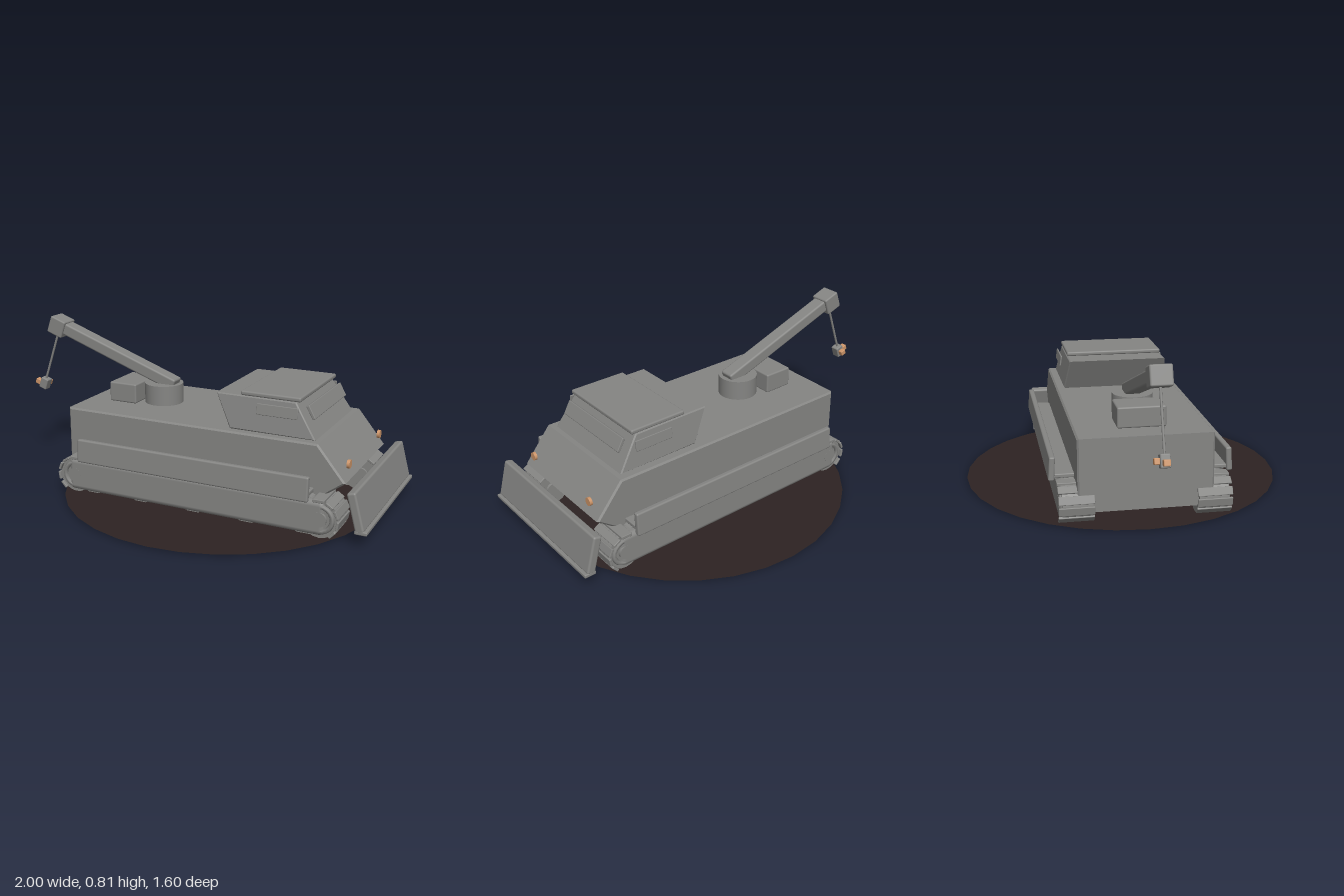
import * as THREE from 'three';
import { RoundedBoxGeometry } from 'three/addons/geometries/RoundedBoxGeometry.js';

const grey = new THREE.MeshStandardMaterial({ color: 0x858583 });
const amber = new THREE.MeshStandardMaterial({ color: 0xcc9468 });
const ground = new THREE.MeshStandardMaterial({ color: 0x2d2322, side: THREE.DoubleSide });
grey.name = 'armour grey';
amber.name = 'amber';
ground.name = 'dark earth';

export function createModel() {
  const model = new THREE.Group();

  const add = (name, geometry, material, x, y, z, parent = model) => {
    const mesh = new THREE.Mesh(geometry, material);
    mesh.name = name;
    mesh.position.set(x, y, z);
    parent.add(mesh);
    return mesh;
  };
  const box = (name, size, pos, tilt = 0, radius = 0.008, material = grey, parent = model) => {
    const mesh = add(name, new RoundedBoxGeometry(...size, 2, radius), material, ...pos, parent);
    mesh.rotation.z = tilt;
    return mesh;
  };
  // Side profile extruded symmetrically across z
  const prism = (points, halfWidth, bevel) => {
    const shape = new THREE.Shape(points.map(([x, y]) => new THREE.Vector2(x, y)));
    const geometry = new THREE.ExtrudeGeometry(shape, {
      depth: 2 * (halfWidth - bevel), bevelEnabled: true, bevelThickness: bevel,
      bevelSize: bevel, bevelOffset: -bevel, bevelSegments: 1,
    });
    return geometry.translate(0, 0, bevel - halfWidth);
  };
  const wheelGeometry = (r, width) => new THREE.CylinderGeometry(r, r, width, 20).rotateX(Math.PI / 2);

  // Ground disc
  const disc = add('groundDisc', new THREE.CircleGeometry(0.8, 32), ground, 0.13, 0.008, 0);
  disc.rotation.x = -Math.PI / 2;

  // Hull with sloping nose
  add('hull', prism([[-0.58, 0.07], [0.68, 0.07], [0.77, 0.185], [0.865, 0.255], [0.73, 0.42], [-0.58, 0.42]],
    0.315, 0.008), grey, 0, 0, 0);

  // Cab: leaning prism narrowing toward the roof
  const cab = prism([[0.285, 0.42], [0.705, 0.42], [0.60, 0.58], [0.205, 0.58]], 0.275, 0.006);
  const p = cab.attributes.position;
  for (let i = 0; i < p.count; i++) p.setZ(i, p.getZ(i) * (1 - 0.57 * (p.getY(i) - 0.42)));
  cab.computeVertexNormals();
  add('cab', cab, grey, 0, 0, 0);
  box('cabRoof', [0.295, 0.022, 0.5], [0.475, 0.591, 0]);
  box('frontWindow', [0.016, 0.07, 0.45], [0.663, 0.532, 0], 0.5, 0.004);

  // Dozer blade with cutting lip
  box('blade', [0.042, 0.185, 0.8], [0.94, 0.162, 0], 0.26, 0.01);
  box('bladeLip', [0.058, 0.018, 0.8], [0.968, 0.073, 0], 0, 0.005);

  for (const side of [1, -1]) {
    const s = side === 1 ? 'left' : 'right';
    const window = box(s + 'SideWindow', [0.2, 0.052, 0.008], [0.52, 0.533, side * 0.274], 0, 0.003);
    window.rotation.x = -side * 0.14;

    const lamp = add(s + 'Headlight', new THREE.CylinderGeometry(0.02, 0.02, 0.014, 16), amber,
      0.856, 0.325, side * 0.24);
    lamp.rotation.z = Math.PI / 2;

    // Running gear
    const track = new THREE.Group();
    track.name = s + 'Track';
    model.add(track);
    box('trackCover', [1.34, 0.165, 0.09], [0.13, 0.103, side * 0.352], 0, 0.025, grey, track);
    for (const x of [-0.505, 0.775]) {
      add('endWheel', wheelGeometry(0.09, 0.14), grey, x, 0.1, side * 0.315, track);
      add('wheelRim', new THREE.TorusGeometry(0.06, 0.012, 6, 20), grey, x, 0.1, side * 0.385, track);
      add('wheelHub', wheelGeometry(0.035, 0.165), grey, x, 0.1, side * 0.315, track);
    }
    for (const x of [-0.42, -0.15, 0.135, 0.41, 0.69])
      add('roadWheel', wheelGeometry(0.095, 0.06), grey, x, 0.098, side * 0.33, track);

    // Track links along the top and around both ends
    for (let i = 0; i < 14; i++)
      box('topLink', [0.056, 0.016, 0.165], [-0.495 + i * 0.0975, 0.189, side * 0.32], 0, 0.003, grey, track);
    for (const [cx, dir] of [[-0.505, -1], [0.775, 1]])
      for (let i = 1; i < 5; i++) {
        const a = Math.PI / 2 - i * 0.58;
        box('endLink', [0.04, 0.012, 0.165],
          [cx + dir * 0.088 * Math.cos(a), 0.1 + 0.088 * Math.sin(a), side * 0.32],
          dir * (a - Math.PI / 2), 0.003, grey, track);
      }

    // Stowage panel above the track
    const panel = box(s + 'SidePanel', [1.195, 0.115, 0.028], [0.135, 0.243, side * 0.418], 0, 0.008);
    panel.rotation.x = -side * 0.06;
    box(s + 'Fender', [1.17, 0.02, 0.1], [0.135, 0.205, side * 0.36], 0, 0.005);
  }

  // Crane base and winch
  add('craneTurntable', new THREE.CylinderGeometry(0.098, 0.098, 0.1, 28), grey, -0.207, 0.47, 0);
  box('winch', [0.152, 0.1, 0.23], [-0.385, 0.47, 0]);

  // Boom, head, cable and hook
  box('boom', [0.72, 0.062, 0.076], [-0.475, 0.637, 0], -0.345, 0.01);
  box('boomHead', [0.092, 0.092, 0.1], [-0.827, 0.757, 0], -0.345, 0.008);
  const top = new THREE.Vector3(-0.845, 0.72, 0);
  const end = new THREE.Vector3(-0.938, 0.455, 0);
  add('cable', new THREE.TubeGeometry(new THREE.LineCurve3(top, end), 1, 0.006, 8), grey, 0, 0, 0);
  const hook = new THREE.Group();
  hook.name = 'hook';
  hook.position.set(-0.944, 0.43, 0);
  hook.rotation.z = -0.34;
  model.add(hook);
  box('hookBlock', [0.045, 0.06, 0.045], [0, 0, 0], 0, 0.006, grey, hook);
  box('hookEnd', [0.032, 0.028, 0.03], [-0.038, -0.008, 0], 0, 0.004, amber, hook);
  box('hookTip', [0.03, 0.028, 0.025], [0, 0, -0.034], 0, 0.004, amber, hook);

  return model;
}
